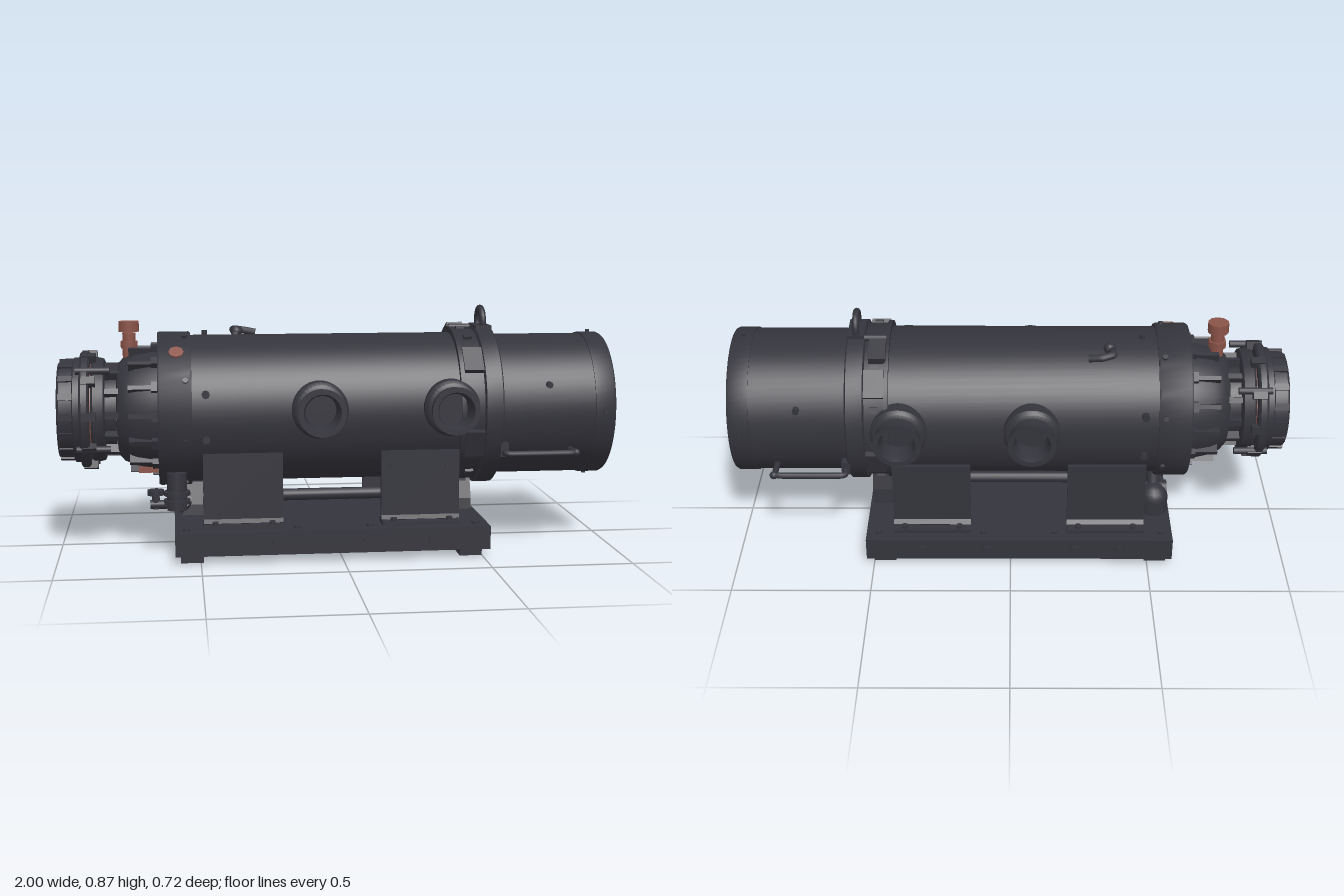
import * as THREE from 'three';
import { toCreasedNormals } from 'three/addons/utils/BufferGeometryUtils.js';

const AXIS_Y = 0.502; // height of the machine's long axis

export function createModel() {
  const model = new THREE.Group();
  const darkMetal = new THREE.MeshStandardMaterial({ color: 0x34343c });
  darkMetal.name = 'darkMetal';
  const copper = new THREE.MeshStandardMaterial({ color: 0x8a5348 });
  copper.name = 'copper';

  function add(name, geo, x = 0, y = 0, z = 0, mat = darkMetal) {
    const m = new THREE.Mesh(geo, mat);
    m.name = name;
    m.position.set(x, y, z);
    model.add(m);
    return m;
  }
  const box = (name, w, h, d, x, y, z, mat) => add(name, new THREE.BoxGeometry(w, h, d), x, y, z, mat);
  const turned = (pts, seg = 64) => toCreasedNormals(
    new THREE.LatheGeometry(pts.map(([a, r]) => new THREE.Vector2(r, a)), seg), 0.6);
  // Turned part on the long axis, from [x, radius] pairs
  const body = (name, pts, mat) => add(name, turned(pts).rotateZ(-Math.PI / 2), 0, AXIS_Y, 0, mat);
  function rod(name, a, b, r, mat, sides = 14) {
    const p = new THREE.Vector3(...a), q = new THREE.Vector3(...b);
    const m = add(name, new THREE.CylinderGeometry(r, r, p.distanceTo(q), sides), 0, 0, 0, mat);
    m.position.copy(p).add(q).multiplyScalar(0.5);
    m.quaternion.setFromUnitVectors(new THREE.Vector3(0, 1, 0), q.sub(p).normalize());
    return m;
  }
  const tube = (name, pts, r) => add(name, new THREE.TubeGeometry(
    new THREE.CatmullRomCurve3(pts.map(p => new THREE.Vector3(...p)), false, 'catmullrom', 0.2), 32, r, 10));
  // Boxes or bolts spread evenly round the long axis
  function around(name, n, geo, x, r, mat, start = 0) {
    for (let i = 0; i < n; i++) {
      const t = start + i * 2 * Math.PI / n;
      const m = add(name, geo, x, AXIS_Y + r * Math.cos(t), r * Math.sin(t), mat);
      m.rotation.x = t;
    }
  }

  // Main cylinder, from end cap to neck
  body('endCap', [[0.57, 0.255], [0.57, 0.259], [0.925, 0.259], [0.925, 0.263], [0.992, 0.263], [1, 0.258], [1, 0]]);
  body('collar', [[0.43, 0.26], [0.43, 0.288], [0.445, 0.288], [0.445, 0.279], [0.515, 0.279], [0.52, 0.292],
    [0.578, 0.292], [0.583, 0.285], [0.583, 0.25]]);
  body('barrel', [[-0.53, 0.267], [0.44, 0.267]]);
  body('flange', [[-0.642, 0.2], [-0.642, 0.276], [-0.635, 0.28], [-0.53, 0.28], [-0.523, 0.276], [-0.523, 0.26]]);
  body('bell', [[-0.79, 0.12], [-0.785, 0.165], [-0.765, 0.188], [-0.72, 0.208], [-0.66, 0.22], [-0.63, 0.225]]);
  around('bellRib', 14, new THREE.BoxGeometry(0.11, 0.045, 0.016), -0.69, 0.208, darkMetal, 0.2);
  around('bellRim', 14, new THREE.BoxGeometry(0.025, 0.022, 0.035), -0.652, 0.232, darkMetal, 0.2);
  body('neck', [[-0.84, 0.14], [-0.79, 0.14]]);
  around('neckRib', 12, new THREE.BoxGeometry(0.06, 0.05, 0.02), -0.81, 0.145);
  body('rearDisc', [[-0.878, 0.12], [-0.878, 0.185], [-0.87, 0.193], [-0.835, 0.185], [-0.83, 0.175], [-0.83, 0.12]]);
  body('discGap', [[-0.885, 0.17], [-0.874, 0.17]], copper);
  body('middleDisc', [[-0.918, 0.12], [-0.918, 0.205], [-0.91, 0.214], [-0.89, 0.214], [-0.883, 0.205], [-0.883, 0.12]]);

  // Inlet head with recessed hub
  body('inletHead', [[-0.96, 0], [-0.96, 0.045], [-0.99, 0.05], [-0.99, 0.07], [-0.965, 0.072], [-0.965, 0.1],
    [-0.99, 0.105], [-0.99, 0.122], [-0.972, 0.126], [-0.972, 0.142], [-0.998, 0.146], [-0.998, 0.17],
    [-0.99, 0.178], [-0.945, 0.18], [-0.94, 0.19], [-0.912, 0.19]]);
  body('hubRing', [[-0.968, 0.073], [-0.968, 0.1]], copper);
  around('headBolt', 16, new THREE.BoxGeometry(0.055, 0.014, 0.024), -0.965, 0.178);
  around('discLug', 10, new THREE.BoxGeometry(0.05, 0.03, 0.03), -0.885, 0.202, darkMetal, 0.3);
  for (const t of [0.7, 2.2, 4.1, 5.4]) {
    const y = AXIS_Y + 0.205 * Math.cos(t), z = 0.205 * Math.sin(t);
    rod('clampBolt', [-0.93, y, z], [-0.81, y, z], 0.013);
  }

  // Copper filler valve
  rod('valveStem', [-0.743, 0.67, 0], [-0.743, 0.78, 0], 0.024, copper);
  rod('valveNut', [-0.743, 0.725, 0], [-0.743, 0.75, 0], 0.034, copper, 6);
  rod('valveCap', [-0.743, 0.785, 0], [-0.743, 0.822, 0], 0.038, copper, 10);
  const plate = add('copperPatch', new THREE.CylinderGeometry(0.027, 0.027, 0.006, 8), -0.575, AXIS_Y + 0.281 * Math.cos(0.65), 0.281 * Math.sin(0.65), copper);
  plate.rotation.x = 0.65;
  box('lowerPlate', 0.07, 0.02, 0.08, -0.68, 0.288, 0.04, copper);

  // Side nozzles
  const nozzle = turned([[0.2, 0.1], [0.285, 0.1], [0.298, 0.09], [0.302, 0.078], [0.325, 0.076], [0.348, 0.083],
    [0.36, 0.085], [0.36, 0.066], [0.335, 0.058], [0.278, 0.056], [0.278, 0]], 36);
  for (const side of [1, -1]) for (const x of [-0.075, 0.395]) {
    const m = add('sideNozzle', nozzle, x, 0.527, 0);
    m.rotation.x = side * Math.PI / 2;
  }

  // Base plate and feet
  box('basePlate', 1.115, 0.083, 0.7, -0.032, 0.07, 0);
  for (const side of [1, -1]) {
    for (const x of [-0.53, 0.46]) box('foot', 0.08, 0.03, 0.095, x, 0.015, side * 0.275);
    for (const x of [-0.395, -0.235, 0.085, 0.32]) rod('baseBolt', [x, 0.07, side * 0.345], [x, 0.07, side * 0.359], 0.018, darkMetal, 8);
    for (const x of [-0.55, -0.16, 0.1, 0.48]) rod('deckBolt', [x, 0.108, side * 0.3], [x, 0.12, side * 0.3], 0.014, darkMetal, 6);

    // Cradle brackets with foot flanges, inner webs and bolts
    for (const x of [-0.347, 0.286]) {
      box('bracketPlate', 0.282, 0.262, 0.016, x, 0.242, side * 0.252);
      box('bracketFoot', 0.282, 0.016, 0.09, x, 0.118, side * 0.262);
      const fillet = box('bracketFillet', 0.282, 0.03, 0.03, x, 0.127, side * 0.252);
      fillet.rotation.x = Math.PI / 4;
      for (const dx of [-0.1, 0.1]) {
        rod('bracketBolt', [x + dx, 0.318, side * 0.25], [x + dx, 0.318, side * 0.266], 0.011, darkMetal, 6);
        rod('bracketBolt', [x + dx, 0.175, side * 0.25], [x + dx, 0.175, side * 0.266], 0.009, darkMetal, 6);
        rod('footBolt', [x + dx, 0.12, side * 0.29], [x + dx, 0.137, side * 0.29], 0.012, darkMetal, 6);
      }
    }

    // Cap handles
    tube('handle', [[0.59, 0.36, side * 0.215], [0.59, 0.36, side * 0.288], [0.61, 0.36, side * 0.298],
      [0.82, 0.36, side * 0.298], [0.842, 0.36, side * 0.288], [0.842, 0.36, side * 0.215]], 0.011);
    box('handleLug', 0.03, 0.05, 0.04, 0.59, 0.37, side * 0.25);
    add('handleKnob', new THREE.SphereGeometry(0.015, 12, 8), 0.845, 0.36, side * 0.295);

    // Wall bolts and clamp pads
    for (const y of [0.425, 0.585]) rod('wallBolt', [-0.475, y, side * 0.24], [-0.475, y, side * 0.273], 0.014, darkMetal, 8);
    rod('capBolt', [0.755, 0.6, side * 0.23], [0.755, 0.6, side * 0.256], 0.012, darkMetal, 8);
    for (const t of [0.85, 1.95]) {
      const m = box('clampPad', 0.07, 0.02, 0.1, 0.48, AXIS_Y + 0.284 * Math.cos(t), side * 0.284 * Math.sin(t));
      m.rotation.x = side * t;
    }
  }
  around('collarBolt', 12, new THREE.BoxGeometry(0.03, 0.012, 0.022), 0.48, 0.283, darkMetal, 0.4);
  around('flangeBolt', 8, new THREE.CylinderGeometry(0.01, 0.01, 0.012, 8), -0.545, 0.283, darkMetal, 0.3);
  around('capStud', 4, new THREE.CylinderGeometry(0.008, 0.008, 0.014, 8), 0.96, 0.266);

  // Lifting ring, its pad and the latch
  box('ringPad', 0.06, 0.025, 0.125, 0.55, 0.786, 0);
  const ring = add('liftingRing', new THREE.TorusGeometry(0.049, 0.012, 10, 28), 0.55, 0.81, 0);
  ring.rotation.y = Math.PI / 2;
  const latch = box('latch', 0.06, 0.04, 0.09, 0.47, 0.764, -0.115);
  latch.rotation.x = -0.42;
  rod('latchPin', [0.44, 0.785, -0.05], [0.52, 0.785, -0.05], 0.012);

  // Small hook on the barrel top
  tube('topHook', [[-0.355, 0.735, -0.08], [-0.355, 0.768, -0.09], [-0.36, 0.775, -0.15], [-0.32, 0.77, -0.165], [-0.275, 0.762, -0.155]], 0.014);
  add('hookKnob', new THREE.SphereGeometry(0.022, 12, 8), -0.35, 0.772, -0.1);
  rod('topStud', [-0.47, 0.75, -0.02], [-0.47, 0.785, -0.02], 0.01);

  // Pipework and pump beneath the barrel
  rod('drainPipe', [-0.5, 0.165, -0.02], [0.47, 0.165, -0.02], 0.022);
  const saddle = new THREE.Shape();
  [[-0.055, 0.11], [0.12, 0.11], [0.115, 0.17], [0.1, 0.23], [-0.02, 0.23], [-0.05, 0.15]]
    .forEach(([a, b], i) => i ? saddle.lineTo(a, b) : saddle.moveTo(a, b));
  for (const x of [-0.56, 0.44]) {
    const m = add('saddle', new THREE.ExtrudeGeometry(saddle, { depth: 0.075, bevelEnabled: false }), x, 0, 0);
    m.rotation.y = Math.PI / 2;
  }
  rod('pumpBody', [-0.53, 0.11, -0.145], [-0.53, 0.165, -0.145], 0.055);
  add('pumpDome', new THREE.SphereGeometry(0.055, 16, 10), -0.53, 0.165, -0.145);
  rod('pumpPort', [-0.58, 0.185, -0.12], [-0.47, 0.185, -0.12], 0.03);
  rod('pumpNeck', [-0.53, 0.17, -0.13], [-0.53, 0.25, -0.1], 0.025);
  rod('crossPipe', [-0.56, 0.205, 0.15], [-0.56, 0.14, 0.03], 0.024);
  rod('elbowCollar', [-0.56, 0.185, 0.115], [-0.56, 0.167, 0.082], 0.032);
  rod('valveBody', [-0.58, 0.165, 0.195], [-0.58, 0.3, 0.195], 0.036);
  for (const y of [0.195, 0.225]) rod('valveFlange', [-0.58, y - 0.007, 0.195], [-0.58, y + 0.007, 0.195], 0.048);
  rod('valveArm', [-0.675, 0.185, 0.195], [-0.56, 0.185, 0.195], 0.016);
  rod('valveHandle', [-0.655, 0.17, 0.195], [-0.655, 0.235, 0.195], 0.014);
  rod('valveWheel', [-0.655, 0.22, 0.195], [-0.655, 0.238, 0.195], 0.03);
  return model;
}
